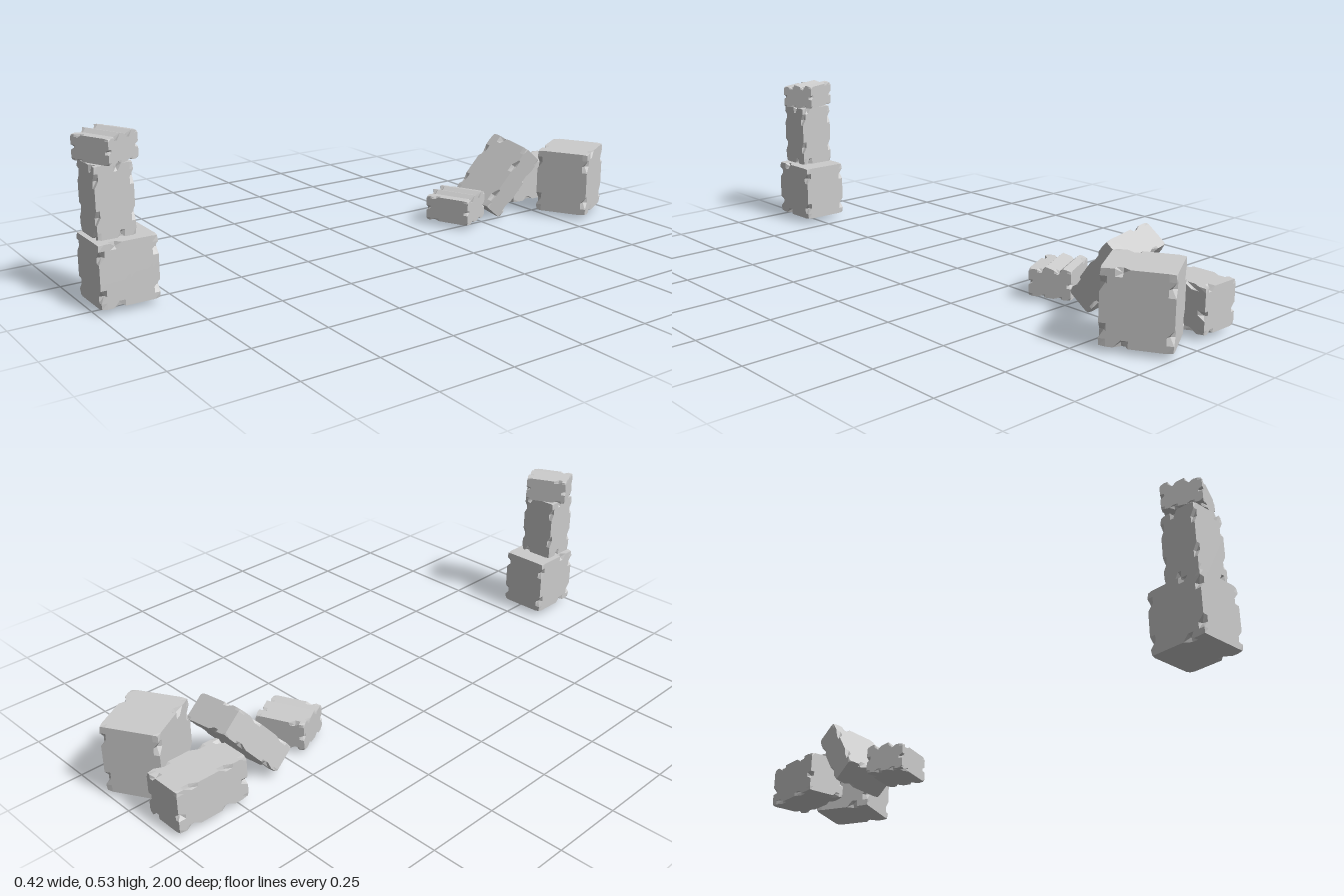
import * as THREE from 'three';

const material = new THREE.MeshStandardMaterial({ color: 0xcccccc, flatShading: true, roughness: 0.9 });

// ridge heights across the depth of a capstone, back (-0.5) to front (0.5)
const RIDGES = [[-0.5, 0.95], [-0.3, 1], [-0.2, 0.88], [0.1, 1], [0.2, 0.87], [0.5, 0.89]];

function ridgeHeight(t) {
  for (let i = 1; i < RIDGES.length; i++) {
    const [a, ha] = RIDGES[i - 1], [b, hb] = RIDGES[i];
    if (t <= b + 1e-4) return THREE.MathUtils.lerp(ha, hb, (t - a) / (b - a));
  }
  return RIDGES[RIDGES.length - 1][1];
}

// chips: places along each axis (-0.5..0.5, steps of 0.1) where its edges are notched
function stoneBlock(name, size, position, { chips = [[], [], []], depth = 0.014, ridged = false } = {}) {
  const geometry = new THREE.BoxGeometry(1, 1, 1, 10, 10, 10);
  const p = geometry.attributes.position;
  for (let i = 0; i < p.count; i++) {
    const u = [p.getX(i), p.getY(i), p.getZ(i)];
    const v = u.map((t, k) => t * size[k]);
    const onFace = u.map((t) => Math.abs(t) > 0.499);
    if (ridged) v[1] = ((u[1] + 0.5) * ridgeHeight(u[2]) - 0.5) * size[1];
    // push single edge vertices inward to form V-shaped chips
    if (onFace.filter(Boolean).length === 2) {
      const along = onFace.indexOf(false);
      if (chips[along].some((c) => Math.abs(u[along] - c) < 0.04)) {
        onFace.forEach((f, k) => { if (f) v[k] -= Math.sign(u[k]) * depth; });
      }
    }
    // slightly worn corners
    if (onFace.every(Boolean)) u.forEach((t, k) => { v[k] -= Math.sign(t) * 0.002; });
    p.setXYZ(i, ...v);
  }
  geometry.computeVertexNormals();
  const mesh = new THREE.Mesh(geometry, material);
  mesh.name = name;
  mesh.position.set(...position);
  return mesh;
}

export function createModel() {
  const model = new THREE.Group();
  const cubeChips = { chips: [[], [0.3, -0.3], [0.2]] };
  const shaftChips = { chips: [[0.3], [0.3, -0.2], [-0.1]], depth: 0.012 };
  const capChips = { chips: [[-0.3], [0], [-0.2, 0.2]], depth: 0.01, ridged: true };

  // standing pillar
  const pillar = new THREE.Group();
  pillar.name = 'standingPillar';
  const cap = stoneBlock('pillarCapstone', [0.145, 0.088, 0.122], [-0.033, 0.489, 0.915], capChips);
  cap.rotation.y = 0.42;
  pillar.add(
    stoneBlock('pillarBase', [0.164, 0.198, 0.186], [-0.026, 0.119, 0.897], cubeChips),
    stoneBlock('pillarShaft', [0.126, 0.22, 0.12], [-0.032, 0.333, 0.919], shaftChips),
    cap
  );

  // collapsed pillar
  const ruin = new THREE.Group();
  ruin.name = 'collapsedPillar';
  const fallenCap = stoneBlock('fallenCapstone', [0.165, 0.1, 0.139], [-0.053, 0.069, -0.42], capChips);
  fallenCap.rotation.y = 0.42;
  const slab = stoneBlock('leaningSlab', [0.185, 0.26, 0.09], [-0.077, 0.141, -0.638],
    { chips: [[-0.2], [-0.3, 0.2], []], depth: 0.012 });
  slab.rotation.set(-0.68, 0, -0.14, 'ZYX');
  const cube = stoneBlock('fallenBase', [0.186, 0.228, 0.211], [0.077, 0.134, -0.864], cubeChips);
  cube.rotation.y = 0.51;
  const shaft = stoneBlock('fallenShaft', [0.141, 0.25, 0.142], [-0.14, 0.09, -0.845], shaftChips);
  shaft.rotation.x = -Math.PI / 2;
  ruin.add(fallenCap, slab, cube, shaft);

  model.add(pillar, ruin);
  return model;
}
